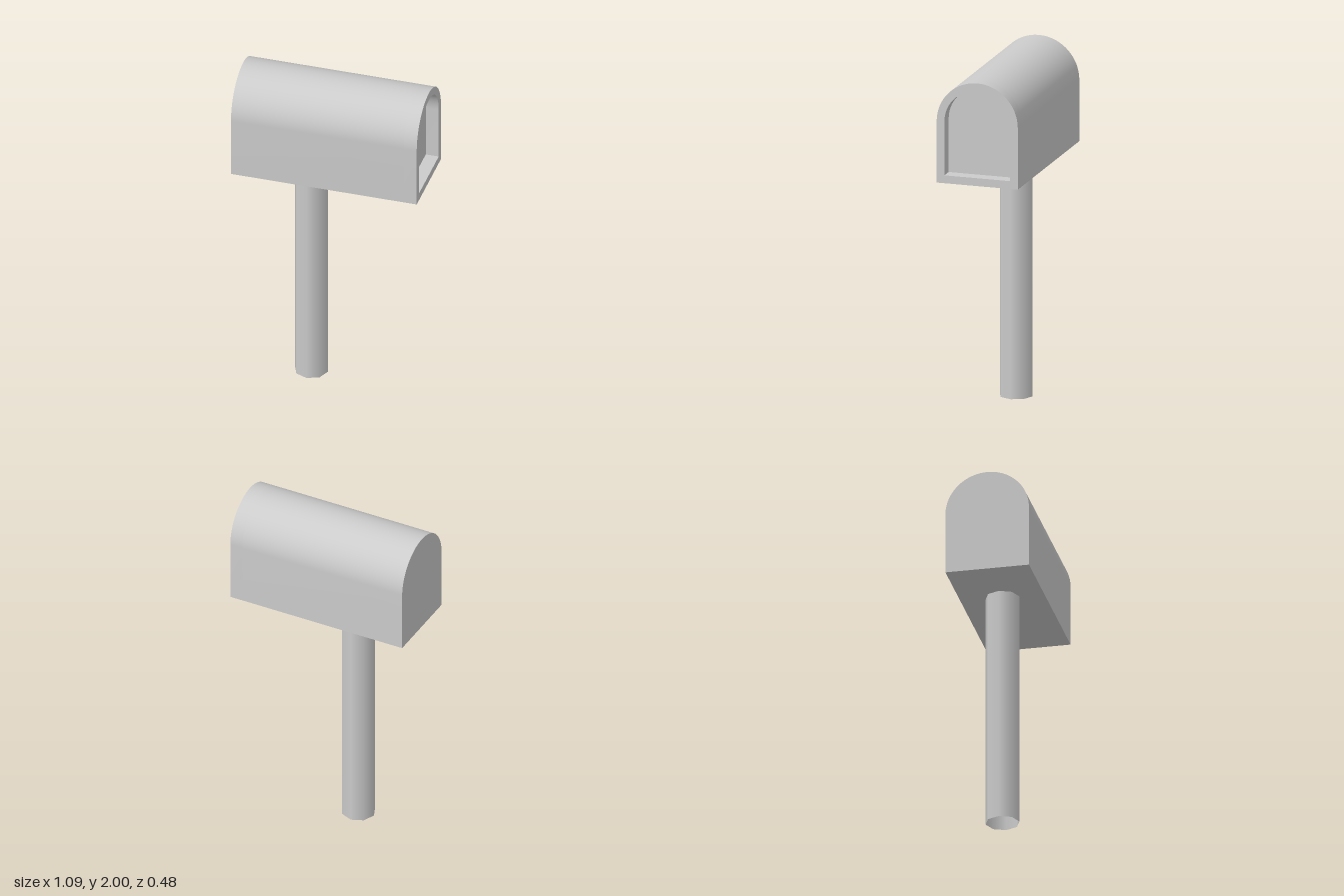
import * as THREE from 'three';
import { toCreasedNormals } from 'three/addons/utils/BufferGeometryUtils.js';

const HALF_LENGTH = 0.546, RADIUS = 0.241, BOTTOM = 1.4, SPRING = 1.759;
const RIM = 0.046, RECESS = 0.076;

// Arched cross-section, shrunk evenly by an inset
function arch(inset, Type = THREE.Shape) {
  const r = RADIUS - inset;
  const s = new Type();
  s.moveTo(-r, BOTTOM + inset);
  s.lineTo(r, BOTTOM + inset);
  s.lineTo(r, SPRING);
  s.absarc(0, SPRING, r, 0, Math.PI, false);
  s.closePath();
  return s;
}

// Extrude a cross-section along x between two positions
function extrudeX(shape, x0, x1) {
  const g = new THREE.ExtrudeGeometry(shape, { depth: x1 - x0, bevelEnabled: false, curveSegments: 24 });
  g.rotateY(Math.PI / 2);
  g.translate(x0, 0, 0);
  return toCreasedNormals(g, Math.PI / 6);
}

export function createModel() {
  const model = new THREE.Group();
  model.name = 'mailbox';
  const grey = new THREE.MeshStandardMaterial({ color: 0xcccccc });
  const thin = new THREE.MeshStandardMaterial({ color: 0xcccccc, side: THREE.DoubleSide });

  const add = (name, geometry, material) => {
    const mesh = new THREE.Mesh(geometry, material);
    mesh.name = name;
    model.add(mesh);
    return mesh;
  };

  // Arched box, solid up to the floor of the recess
  add('box', extrudeX(arch(0), -HALF_LENGTH, HALF_LENGTH - RECESS), grey);

  // Raised rim framing the recessed door
  const rim = arch(0);
  rim.holes.push(arch(RIM, THREE.Path));
  add('doorRim', extrudeX(rim, HALF_LENGTH - RECESS, HALF_LENGTH), grey);

  // Hollow eight-sided post, open at the foot
  const post = add('post', new THREE.CylinderGeometry(0.097, 0.097, BOTTOM, 8, 1, true), thin);
  post.position.set(-0.144, BOTTOM / 2, 0);

  return model;
}
